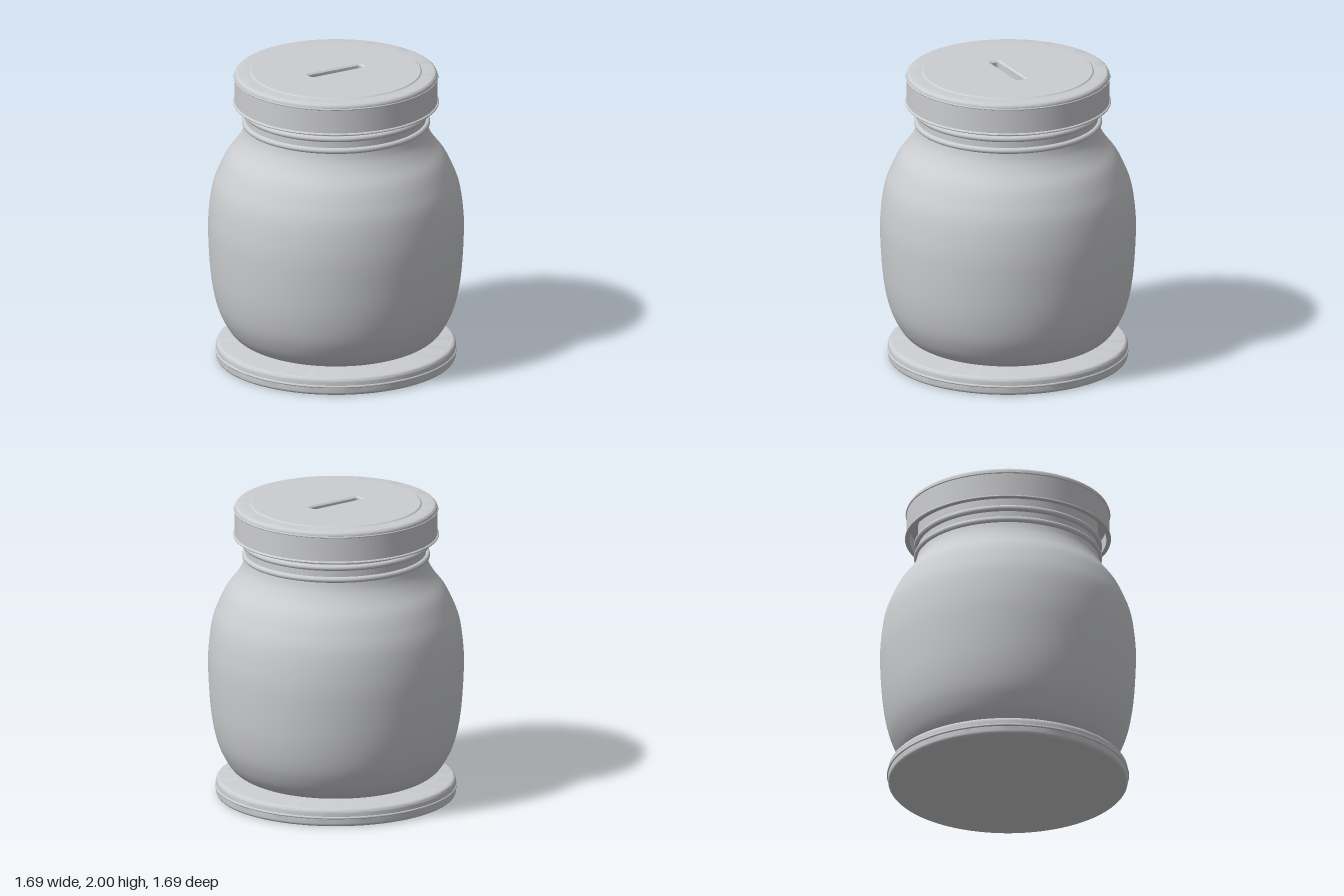
import * as THREE from 'three';
import { toCreasedNormals } from 'three/addons/utils/BufferGeometryUtils.js';

const SEGMENTS = 96;
const vec = (points) => points.map(([r, y]) => new THREE.Vector2(r, y));

// Turned part whose sharp profile corners stay crisp
const turned = (points) => toCreasedNormals(new THREE.LatheGeometry(vec(points), SEGMENTS), 0.65);

// Quarter-round profile corner around (r, y), from angle a to angle b in degrees
function corner(r, y, radius, a, b, steps = 5) {
  return Array.from({ length: steps + 1 }, (_, i) => {
    const t = THREE.MathUtils.degToRad(a + ((b - a) * i) / steps);
    return [r + radius * Math.cos(t), y + radius * Math.sin(t)];
  });
}

// Rounded slot outline centred on the origin
function slotPath(halfLength, halfWidth, radius) {
  const path = new THREE.Path();
  const x = halfLength - radius, y = halfWidth - radius;
  path.absarc(x, y, radius, 0, Math.PI / 2);
  path.absarc(-x, y, radius, Math.PI / 2, Math.PI);
  path.absarc(-x, -y, radius, Math.PI, Math.PI * 1.5);
  path.absarc(x, -y, radius, Math.PI * 1.5, Math.PI * 2);
  return path;
}

export function createModel() {
  const group = new THREE.Group();
  const grey = new THREE.MeshStandardMaterial({ color: 0xcccdd0 });
  grey.name = 'light grey';
  const dark = new THREE.MeshStandardMaterial({ color: 0x222426 });
  dark.name = 'slot shadow grey';

  const add = (name, geometry, material = grey, y = 0) => {
    const mesh = new THREE.Mesh(geometry, material);
    mesh.name = name;
    mesh.position.y = y;
    group.add(mesh);
    return mesh;
  };

  // Base disc with rounded rims and a thin bead around the middle
  add('base', turned([
    [0, 0], ...corner(0.77, 0.022, 0.022, -90, 0),
    [0.792, 0.053], ...corner(0.792, 0.061, 0.008, -90, 90, 6), [0.792, 0.069],
    ...corner(0.765, 0.093, 0.027, 0, 90), [0, 0.12],
  ]));

  // Jar belly and shoulder
  const belly = new THREE.SplineCurve(vec([
    [0.5, 0.12], [0.6, 0.138], [0.685, 0.19], [0.75, 0.29], [0.795, 0.41], [0.828, 0.6],
    [0.845, 0.88], [0.838, 1.05], [0.815, 1.2], [0.775, 1.31], [0.725, 1.41],
    [0.66, 1.495], [0.622, 1.56], [0.606, 1.61], [0.598, 1.66],
  ]));
  add('jarBody', new THREE.LatheGeometry([new THREE.Vector2(0, 0.12), ...belly.getPoints(56)], SEGMENTS));

  // Neck and its two raised rings
  add('neck', turned([[0.595, 1.6], [0.595, 1.86], [0, 1.86]]));
  for (const y of [1.645, 1.727]) {
    const ring = new THREE.TorusGeometry(0.602, 0.02, 12, SEGMENTS);
    ring.rotateX(Math.PI / 2);
    add('neckRing', ring, grey, y);
  }

  // Lid shell: hollow underside, beaded skirt, rounded shoulder
  add('lid', turned([
    [0, 1.87], [0.65, 1.87], [0.65, 1.775], [0.672, 1.775],
    ...corner(0.674, 1.782, 0.007, -90, 90, 6), [0.67, 1.791],
    [0.67, 1.949], ...corner(0.67, 1.956, 0.006, -90, 90, 6), [0.67, 1.963],
    ...corner(0.644, 1.966, 0.026, 0, 90), [0.55, 1.992],
  ]));

  // Raised lid panel with a bevelled coin slot
  const disc = new THREE.Shape().absarc(0, 0, 0.57, 0, Math.PI * 2);
  disc.holes.push(slotPath(0.2, 0.03, 0.015));
  const panel = new THREE.ExtrudeGeometry(disc, {
    depth: 0.105, curveSegments: 48, bevelEnabled: true,
    bevelThickness: 0.01, bevelSize: 0.012, bevelOffset: -0.012, bevelSegments: 1,
  });
  panel.rotateX(-Math.PI / 2);
  add('lidPanel', toCreasedNormals(panel, 0.4), grey, 1.885);

  // Dark floor seen through the slot
  add('slotFloor', new THREE.BoxGeometry(0.42, 0.006, 0.08), dark, 1.873);

  return group;
}
